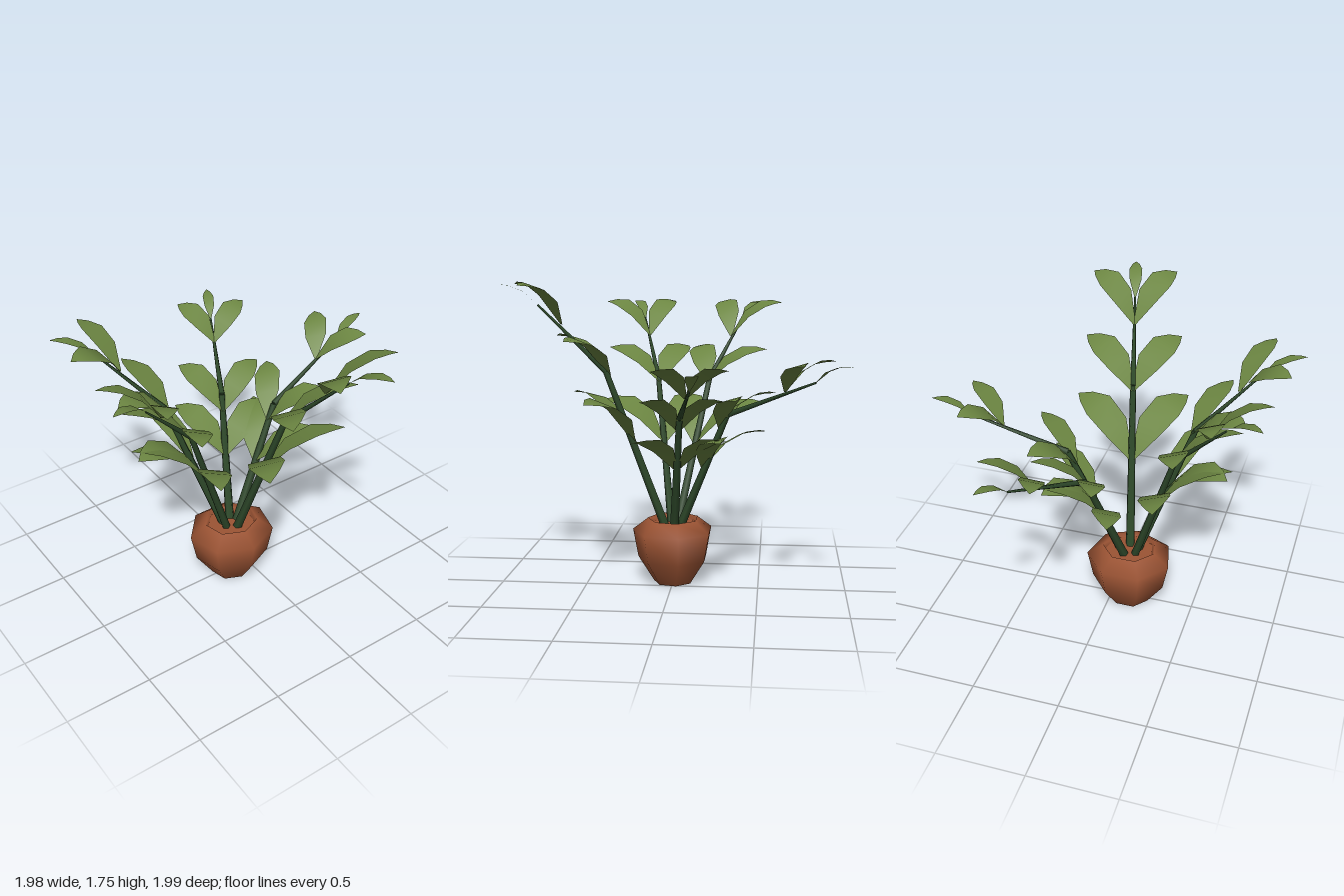
import * as THREE from 'three';

const leafMat = new THREE.MeshStandardMaterial({ color: 0x6c8642, side: THREE.DoubleSide });
const stemMat = new THREE.MeshStandardMaterial({ color: 0x2f4a2b });
const potMat = new THREE.MeshStandardMaterial({ color: 0x9c5434 });

const SOIL = 0.37; // height the stems are measured from

function add(parent, name, geometry, material) {
  const mesh = new THREE.Mesh(geometry, material);
  mesh.name = name;
  parent.add(mesh);
  return mesh;
}

// Pointed leaf: starts at (0, y, out), reaches sideways and outward, rises then levels off.
function leafGeometry(out, y, side, reach, rise, width) {
  const length = Math.hypot(side, reach);
  const rx = reach / length, rz = -side / length;
  const bank = -Math.sign(side) * 0.25; // edge nearest the stem is raised
  // [position along leaf, share of rise, share of half width]
  const rows = [[0, 0, 0.12], [0.3, 0.66, 0.92], [0.62, 0.97, 1], [0.84, 1.02, 0.55], [1, 1, 0]];
  const pos = [], index = [];
  rows.forEach(([t, h, w], i) => {
    for (const s of [-1, 1]) {
      const k = s * w * width / 2;
      pos.push(side * t + rx * k, y + rise * h + bank * k, out + reach * t + rz * k);
    }
    if (i) {
      const a = 2 * i - 2;
      index.push(a, a + 2, a + 1);
      if (i < rows.length - 1) index.push(a + 1, a + 2, a + 3);
    }
  });
  const geometry = new THREE.BufferGeometry();
  geometry.setAttribute('position', new THREE.Float32BufferAttribute(pos.slice(0, 27), 3));
  geometry.setIndex(index);
  geometry.computeVertexNormals();
  return geometry;
}

// Tapered straight piece of stem between two points
function addStemPiece(parent, from, to, r0, r1) {
  const dir = to.clone().sub(from);
  const mesh = add(parent, 'stem', new THREE.CylinderGeometry(r1, r0, dir.length(), 5), stemMat);
  mesh.position.copy(from).addScaledVector(dir, 0.5);
  mesh.quaternion.setFromUnitVectors(new THREE.Vector3(0, 1, 0), dir.normalize());
}

// Two habits: path as [outward, height]; pairs as [outward, height, sideways, reach, rise, width]
const upright = {
  path: [[0.05, -0.03], [0.39, 0.88], [0.77, 1.26]],
  pairs: [
    [0.23, 0.47, 0.33, 0.32, 0.26, 0.19],
    [0.37, 0.86, 0.28, 0.28, 0.21, 0.17],
    [0.64, 1.15, 0.245, 0.25, 0.22, 0.15],
  ],
  tip: [0.26, 0.11, 0.075],
};
const spreading = {
  path: [[0.05, -0.03], [0.36, 0.65], [0.9, 0.86]],
  pairs: [
    [0.2, 0.33, 0.27, 0.27, 0.2, 0.16],
    [0.31, 0.57, 0.235, 0.235, 0.19, 0.145],
    [0.72, 0.8, 0.2, 0.205, 0.16, 0.13],
  ],
  tip: [0.215, 0.09, 0.065],
};

function createBranch({ path, pairs, tip }, degrees, scale) {
  const branch = new THREE.Group();
  branch.name = 'branch';
  const [base, knee, end] = path.map(([r, y]) => new THREE.Vector3(0, y, r));
  addStemPiece(branch, base, knee, 0.027, 0.018);
  addStemPiece(branch, knee, end, 0.018, 0.006);
  for (const [out, y, side, reach, rise, width] of pairs) {
    for (const s of [-1, 1]) {
      add(branch, s > 0 ? 'leftLeaf' : 'rightLeaf',
        leafGeometry(out, y, s * side, reach, rise, width), leafMat);
    }
  }
  add(branch, 'tipLeaf', leafGeometry(end.z, end.y, 0, ...tip), leafMat);
  branch.rotation.y = THREE.MathUtils.degToRad(degrees);
  branch.position.y = SOIL;
  branch.scale.setScalar(scale);
  return branch;
}

// Seven-sided pot with a drawn-in shoulder, flat base and slightly sunken soil
function createPot() {
  const pot = new THREE.Group();
  pot.name = 'pot';
  const profile = [[0.123, 0], [0.223, 0.145], [0.256, 0.31], [0.16, 0.38], [0.145, 0.35]]
    .map(([r, y]) => new THREE.Vector2(r, y));
  add(pot, 'potWall', new THREE.LatheGeometry(profile, 7), potMat);
  const base = add(pot, 'potBase', new THREE.CircleGeometry(0.123, 7, Math.PI / 2), potMat);
  base.rotation.x = Math.PI / 2;
  const soil = add(pot, 'soil', new THREE.CircleGeometry(0.145, 7, -Math.PI / 2), potMat);
  soil.rotation.x = -Math.PI / 2;
  soil.position.y = 0.35;
  pot.scale.z = 0.935;
  return pot;
}

export function createModel() {
  const model = new THREE.Group();
  model.name = 'pottedPlant';
  model.add(createPot());
  // [habit, heading from the front in degrees, size]
  const branches = [
    [upright, 15, 1], [spreading, 100.4, 1], [spreading, 152.7, 1],
    [upright, 238, 0.913], [upright, 290, 0.913],
  ];
  for (const args of branches) model.add(createBranch(...args));
  model.position.x = -0.11;
  const root = new THREE.Group();
  root.add(model);
  return root;
}
